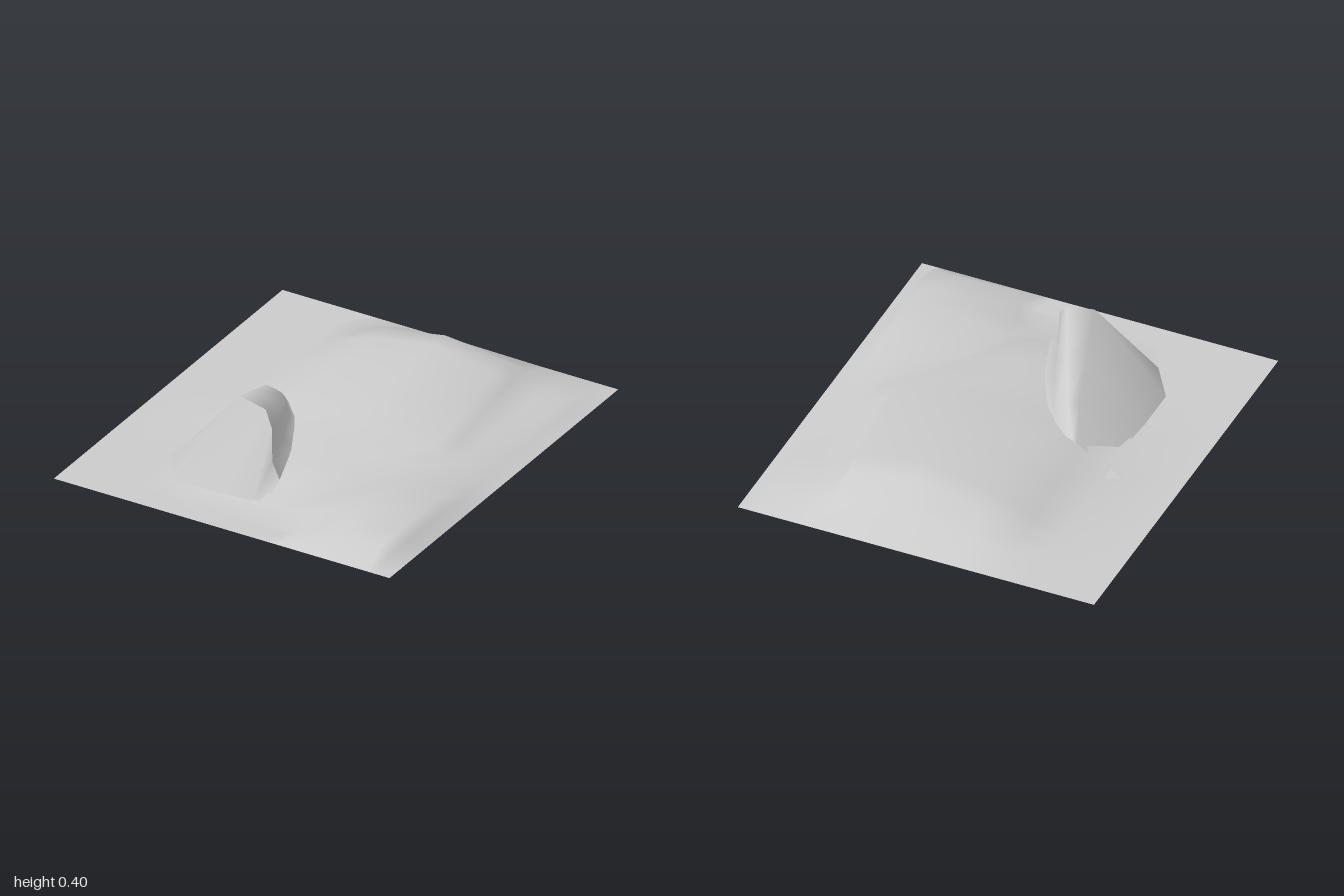
import * as THREE from 'three';

const material = new THREE.MeshStandardMaterial({ color: 0xcccccc, side: THREE.DoubleSide });

// Skin a surface over rows of [x, y, z] points, with smooth normals
function skin(name, rows) {
  const n = rows[0].length, index = [];
  for (let r = 0; r < rows.length - 1; r++) {
    for (let c = 0; c < n - 1; c++) {
      const a = r * n + c, b = a + n;
      index.push(a, b, a + 1, b, b + 1, a + 1);
    }
  }
  const geometry = new THREE.BufferGeometry();
  geometry.setAttribute('position', new THREE.Float32BufferAttribute(rows.flat(2), 3));
  geometry.setIndex(index);
  geometry.computeVertexNormals();
  const mesh = new THREE.Mesh(geometry, material);
  mesh.name = name;
  return mesh;
}

// Terrain rows from back to front: z, x of the cliff edge, then heights at
// outer slope, hill left, hill top, cliff edge, cliff foot, lower mound, outer mound
const terrainRows = [
  [-1.00, 0.46, 0, 0, 0, 0, 0, 0, 0],
  [-0.85, 0.45, 0.03, 0.08, 0.105, 0.08, 0.06, 0.045, 0.03],
  [-0.72, 0.45, 0.05, 0.14, 0.20, 0.155, 0.085, 0.06, 0.05],
  [-0.60, 0.47, 0.07, 0.15, 0.215, 0.155, 0.085, 0.06, 0.045],
  [-0.35, 0.50, 0.09, 0.145, 0.20, 0.135, 0.085, 0.06, 0.04],
  [-0.10, 0.53, 0.08, 0.13, 0.17, 0.12, 0.08, 0.06, 0.04],
  [0.04, 0.54, 0.08, 0.11, 0.135, 0.11, 0.08, 0.06, 0.04],
  [0.20, 0.43, 0.04, 0.10, 0.115, 0.105, 0.075, 0.085, 0.05],
  [0.40, 0.32, 0, 0.08, 0.095, 0.08, 0.06, 0.105, 0.08],
  [0.60, 0.24, 0, 0.05, 0.08, 0.05, 0.05, 0.11, 0.085],
  [0.73, 0.22, 0, 0, 0.01, 0.02, 0.04, 0.09, 0.08],
  [0.88, 0.29, 0, 0, 0, 0, 0.02, 0.08, 0.08],
  [1.00, 0.24, 0, 0, 0, 0, 0, 0, 0],
];

// Crag sections from back to front: base, ridge, shoulder, lip, hollow, foot
const cragRows = [
  [[-0.51, 0.01, -0.06], [-0.37, 0.10, -0.06], [-0.34, 0.105, -0.05], [-0.31, 0.105, -0.04], [-0.28, 0.105, -0.02], [-0.25, 0.105, 0]],
  [[-0.52, 0, 0.10], [-0.31, 0.21, 0.09], [-0.25, 0.19, 0.10], [-0.19, 0.15, 0.11], [-0.17, 0.12, 0.12], [-0.12, 0.10, 0.13]],
  [[-0.53, 0, 0.32], [-0.25, 0.305, 0.30], [-0.15, 0.28, 0.31], [-0.09, 0.22, 0.33], [-0.075, 0.13, 0.34], [-0.02, 0.09, 0.35]],
  [[-0.53, 0, 0.55], [-0.19, 0.40, 0.525], [-0.05, 0.37, 0.53], [0, 0.30, 0.56], [0.02, 0.15, 0.59], [0.07, 0.08, 0.61]],
];

export function createModel() {
  const model = new THREE.Group();
  model.name = 'landscape';

  // Rolling hill, curving cliff and lower mound
  const rows = terrainRows.map(([z, cliff, ...h]) => {
    const foot = cliff + 0.05;
    const xs = [-0.4, -0.2, 0.14, cliff, foot, (foot + 0.77) / 2, 0.77];
    const middle = xs.map((x, i) => [x, h[i], z]);
    return [[-0.88, 0, z], [-0.53, 0, z], ...middle, [0.81, h[6] / 2, z], [0.88, 0, z]];
  });
  model.add(skin('terrain', rows));

  // Hollowed crag, its left flank closing down to the front corner
  const rim = cragRows[3].slice(1);
  const corner = [-0.41, 0, 0.73];
  model.add(skin('crag', [...cragRows, [corner, ...rim]]));

  // Steep front face
  const toe = [corner, ...[-0.15, 0, 0.03, 0.07].map((x) => [x, 0, 0.73])];
  model.add(skin('cragFace', [rim, toe]));

  // Flat underside
  const base = new THREE.Mesh(new THREE.PlaneGeometry(1.76, 2).rotateX(Math.PI / 2), material);
  base.name = 'underside';
  model.add(base);
  return model;
}
